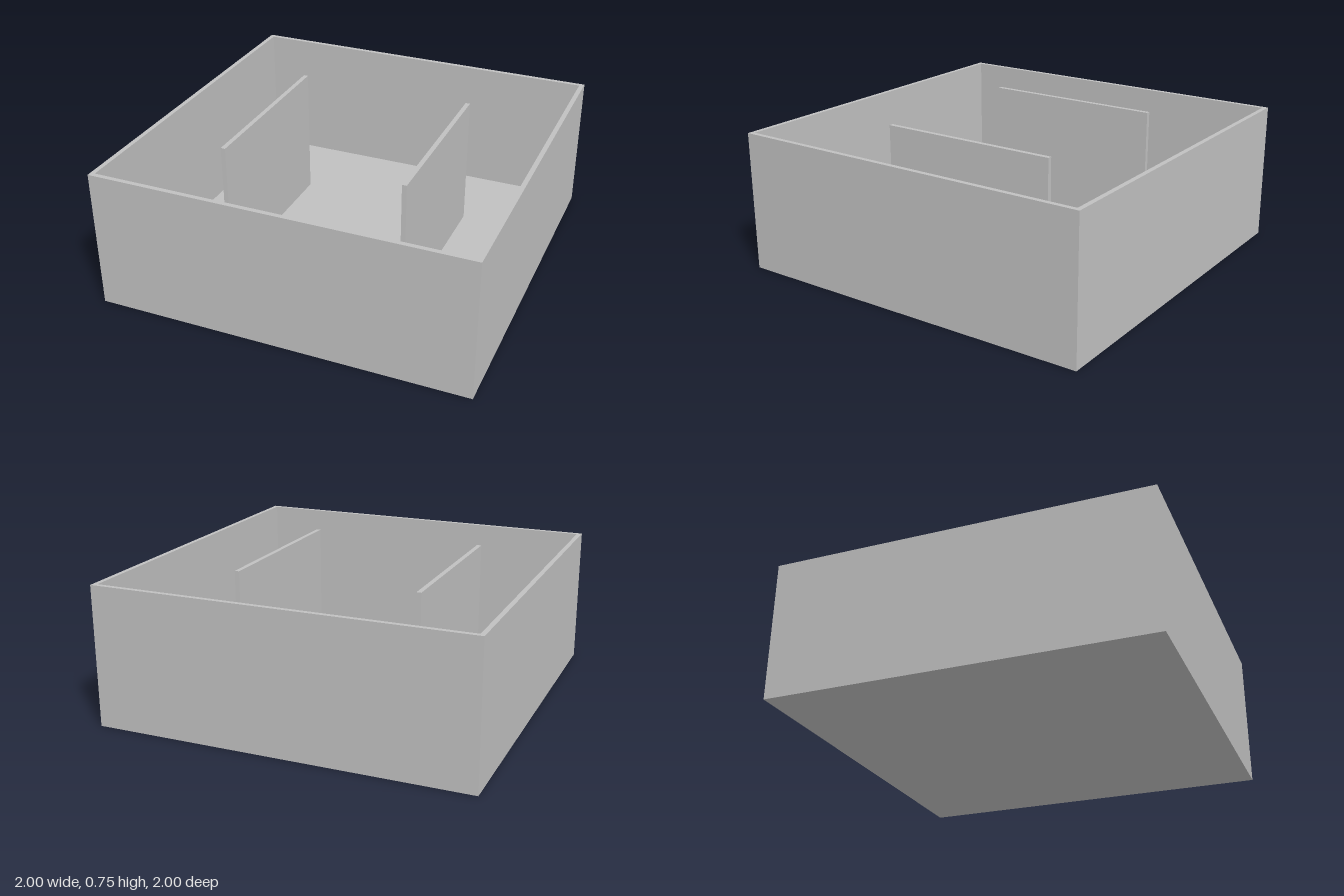
import * as THREE from 'three';

const SIZE = 2, HEIGHT = 0.75, T = 0.025;

export function createModel() {
  const group = new THREE.Group();
  group.name = 'openTray';
  const grey = new THREE.MeshStandardMaterial({ color: 0xc0c0c0 });
  grey.name = 'plain grey';

  // Box resting on height y0
  function slab(name, w, h, d, x, y0, z) {
    const mesh = new THREE.Mesh(new THREE.BoxGeometry(w, h, d), grey);
    mesh.position.set(x, y0 + h / 2, z);
    mesh.name = name;
    group.add(mesh);
  }

  // Floor plate
  slab('floor', SIZE, T, SIZE, 0, 0, 0);

  // Outer walls as one square ring, so the rim and sides stay seamless
  const h = SIZE / 2, i = h - T;
  const square = (s) => [[-s, -s], [s, -s], [s, s], [-s, s]].map(([x, y]) => new THREE.Vector2(x, y));
  const ring = new THREE.Shape(square(h));
  ring.holes.push(new THREE.Path(square(i).reverse()));
  const wallGeometry = new THREE.ExtrudeGeometry(ring, { depth: HEIGHT - T, bevelEnabled: false });
  wallGeometry.rotateX(-Math.PI / 2);
  const walls = new THREE.Mesh(wallGeometry, grey);
  walls.position.y = T;
  walls.name = 'outerWalls';
  group.add(walls);

  // Two free-standing partitions, level with the rim
  slab('rightPartition', T, HEIGHT - T, 1, -0.5275, T, 0);
  slab('leftPartition', T, HEIGHT - T, 1, 0.46, T, 0);

  return group;
}
